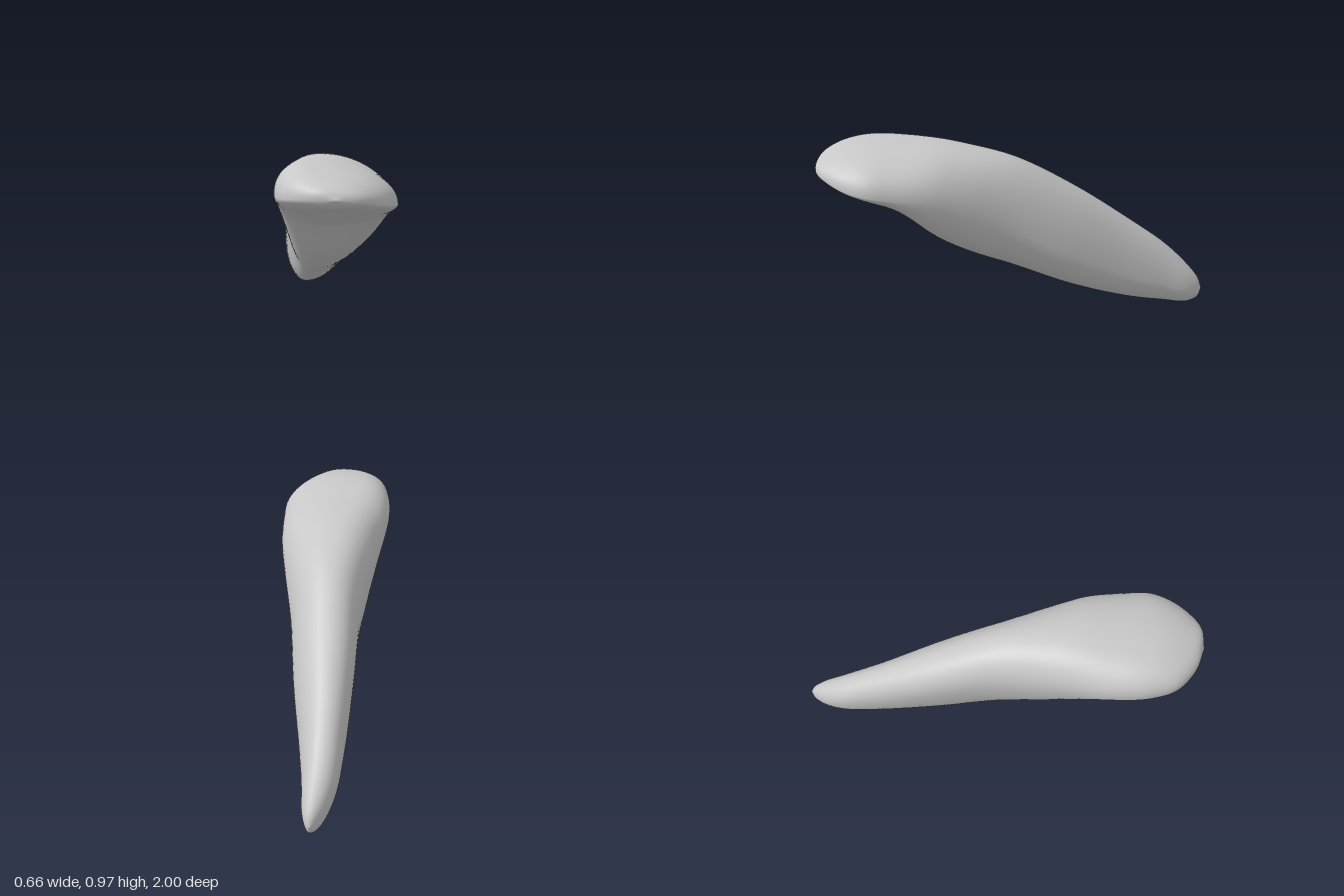
import * as THREE from 'three';
import { mergeVertices } from 'three/addons/utils/BufferGeometryUtils.js';

// Cross-sections from the broad front end to the narrow tail:
// z, left x, right x, bottom y, top y, then y of left and right edges, x of keel and crest
const SECTIONS = [
  [1.0, 0.06, 0.06, 0.852, 0.852, 0.852, 0.852, 0.06, 0.06],
  [0.975, -0.06, 0.165, 0.815, 0.895, 0.85, 0.84, 0.05, 0.03],
  [0.9, -0.17, 0.245, 0.78, 0.932, 0.835, 0.815, 0.03, -0.03],
  [0.8, -0.22, 0.305, 0.74, 0.957, 0.82, 0.79, 0.02, -0.06],
  [0.7, -0.245, 0.33, 0.70, 0.965, 0.81, 0.775, 0, -0.07],
  [0.58, -0.255, 0.315, 0.64, 0.964, 0.79, 0.755, -0.02, -0.06],
  [0.4, -0.248, 0.275, 0.46, 0.955, 0.73, 0.73, -0.06, -0.05],
  [0.25, -0.245, 0.22, 0.36, 0.93, 0.68, 0.67, -0.1, -0.05],
  [0.0, -0.25, 0.12, 0.255, 0.86, 0.6, 0.54, -0.14, -0.075],
  [-0.3, -0.29, 0.025, 0.13, 0.69, 0.47, 0.37, -0.18, -0.14],
  [-0.6, -0.32, -0.085, 0.045, 0.48, 0.29, 0.21, -0.21, -0.205],
  [-0.8, -0.328, -0.15, 0.012, 0.33, 0.19, 0.14, -0.235, -0.235],
  [-0.92, -0.3, -0.183, 0.002, 0.215, 0.12, 0.1, -0.24, -0.24],
  [-0.98, -0.265, -0.215, 0.03, 0.14, 0.085, 0.085, -0.24, -0.24],
  [-1.0, -0.24, -0.24, 0.08, 0.08, 0.08, 0.08, -0.24, -0.24],
];

// Point on a section made of four quarter curves, fuller along the upper left
function sectionPoint([z, xl, xr, yb, yt, yl, yr, xb, xt], angle) {
  const right = Math.cos(angle) >= 0;
  const up = Math.sin(angle) >= 0;
  const power = up ? (right ? 0.95 : 0.87) : 1.02;
  const c = Math.pow(Math.abs(Math.cos(angle)), power);
  const s = Math.pow(Math.abs(Math.sin(angle)), power);
  const sideX = right ? xr : xl;
  const sideY = right ? yr : yl;
  const poleX = up ? xt : xb;
  const poleY = up ? yt : yb;
  return new THREE.Vector3(poleX + (sideX - poleX) * c, sideY + (poleY - sideY) * s, z);
}

// Smooth loft: one spline runs the length of the body for each angle
function loftGeometry(around, along) {
  const positions = [];
  const index = [];
  for (let j = 0; j < around; j++) {
    const angle = (j / around) * Math.PI * 2;
    const spline = new THREE.CatmullRomCurve3(SECTIONS.map((s) => sectionPoint(s, angle)));
    const next = (j + 1) % around;
    for (let i = 0; i <= along; i++) {
      positions.push(...spline.getPoint(i / along).toArray());
      if (i === along) continue;
      const a = j * (along + 1) + i;
      const b = next * (along + 1) + i;
      if (i > 0) index.push(a, a + 1, b);
      if (i < along - 1) index.push(a + 1, b + 1, b);
    }
  }
  const geometry = new THREE.BufferGeometry();
  geometry.setAttribute('position', new THREE.Float32BufferAttribute(positions, 3));
  geometry.setIndex(index);
  const welded = mergeVertices(geometry, 1e-5);
  welded.computeVertexNormals();
  return welded;
}

export function createModel() {
  const group = new THREE.Group();
  group.name = 'taperedForm';
  const grey = new THREE.MeshStandardMaterial({ color: 0xc8c8c8 });
  grey.name = 'lightGrey';
  const body = new THREE.Mesh(loftGeometry(64, 112), grey);
  body.name = 'body';
  group.add(body);
  return group;
}
